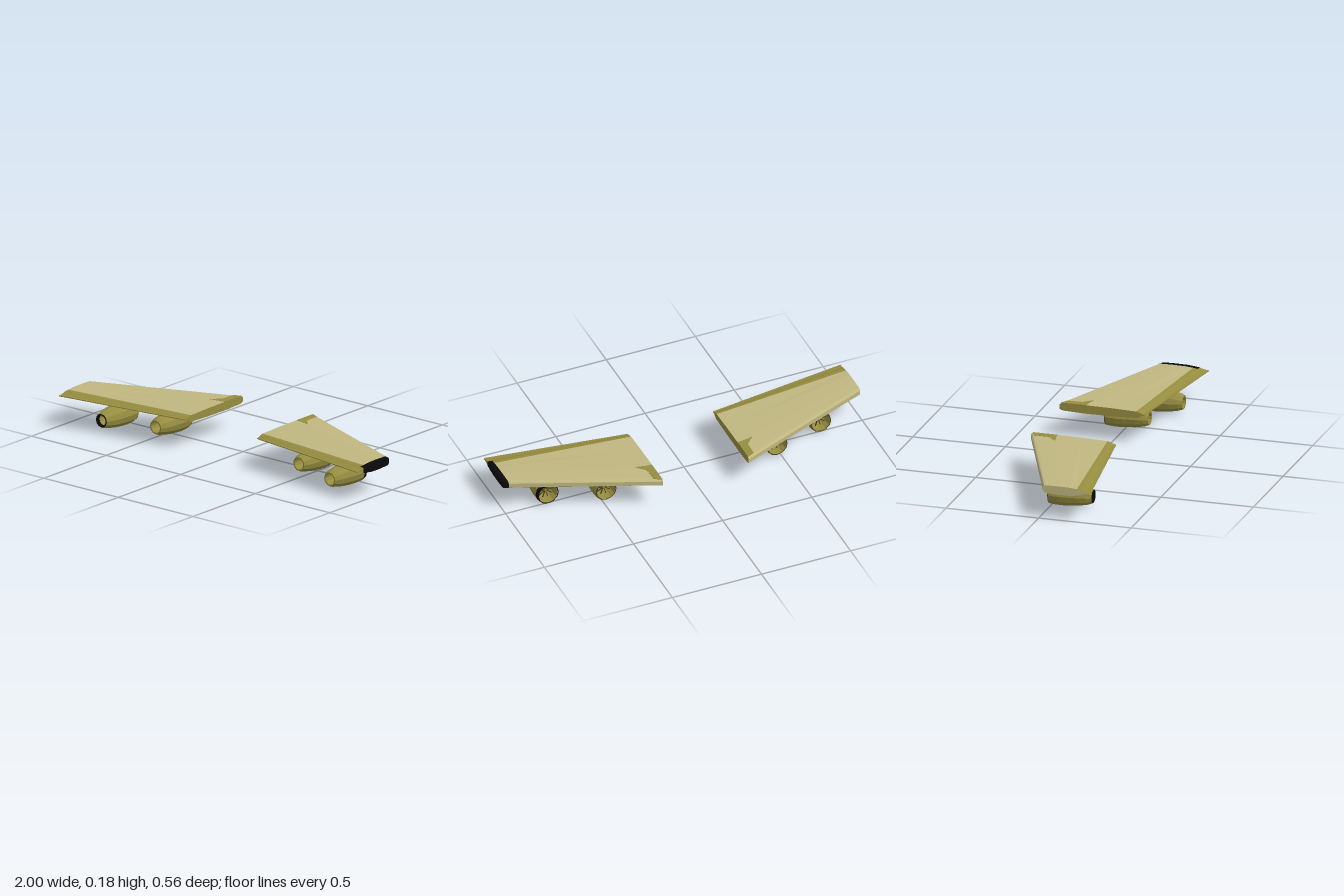
import * as THREE from 'three';

const mat = (name, color, side = THREE.FrontSide) => {
  const m = new THREE.MeshStandardMaterial({ color, side });
  m.name = name;
  return m;
};

// wing section rows: chord fraction at root, at tip, upper y, lower y
const SECTION = [
  [0, 0, 0.181, 0.158], [0.02, 0.02, 0.188, 0.152], [0.06, 0.06, 0.19, 0.149],
  [0.3, 0.3, 0.191, 0.145], [0.6, 0.55, 0.19, 0.146], [0.9, 0.71, 0.186, 0.151],
  [0.93, 0.81, 0.183, 0.156], [0.95, 0.84, 0.179, 0.161], [0.97, 0.92, 0.174, 0.166],
  [1, 1, 0.172, 0.168],
];
const LAST = SECTION.length - 1;
const ROOT = 0.24, TIP = 1, FLAP = 5, CAP = 6, CUT = 0.975;

// point on the wing surface; row = section row, k = 2 upper or 3 lower
function wingPoint(x, row, k) {
  const u = (x - ROOT) / (TIP - ROOT);
  const lead = THREE.MathUtils.lerp(-0.285, 0.025, u);
  const trail = THREE.MathUtils.lerp(0.175, 0.28, u);
  const t = THREE.MathUtils.lerp(SECTION[row][0], SECTION[row][1], u);
  return [x, SECTION[row][k], lead + (trail - lead) * t];
}

// flat-shaded geometry from quads, mirrored to the side s
function quadGeometry(quads, s) {
  const pos = [];
  for (const [a, b, c, d] of quads) {
    const order = s > 0 ? [a, b, c, a, c, d] : [a, c, b, a, d, c];
    for (const p of order) pos.push(p[0] * s, p[1], p[2]);
  }
  const g = new THREE.BufferGeometry();
  g.setAttribute('position', new THREE.Float32BufferAttribute(pos, 3));
  g.computeVertexNormals();
  return g;
}

// upper and lower skin between two spans and two section rows
function skin(x0, x1, r0, r1) {
  const P = wingPoint, quads = [];
  for (let i = r0; i < r1; i++) {
    quads.push([P(x0, i, 2), P(x0, i + 1, 2), P(x1, i + 1, 2), P(x1, i, 2)]);
    quads.push([P(x0, i + 1, 3), P(x0, i, 3), P(x1, i, 3), P(x1, i + 1, 3)]);
  }
  if (r0 === 0) quads.push([P(x0, 0, 3), P(x0, 0, 2), P(x1, 0, 2), P(x1, 0, 3)]);
  if (r1 === LAST) quads.push([P(x0, LAST, 2), P(x0, LAST, 3), P(x1, LAST, 3), P(x1, LAST, 2)]);
  return quads;
}

// end faces at the root or the tip
function endFace(x, r0, r1, isTip) {
  const quads = [];
  for (let i = r0; i < r1; i++) {
    const q = [wingPoint(x, i, 2), wingPoint(x, i + 1, 2), wingPoint(x, i + 1, 3), wingPoint(x, i, 3)];
    quads.push(isTip ? q : q.reverse());
  }
  return quads;
}

export function createModel() {
  const khaki = mat('khaki', 0xc0b780);
  const olive = mat('olive', 0x968d40);
  const shade = mat('darkOlive', 0x4a4420, THREE.DoubleSide);
  const black = mat('black', 0x0a0a0a, THREE.DoubleSide);
  const model = new THREE.Group();
  model.name = 'wingPair';

  const add = (parent, name, geometry, material) => {
    const m = new THREE.Mesh(geometry, material);
    m.name = name;
    parent.add(m);
    return m;
  };

  const lathe = (points) => {
    const g = new THREE.LatheGeometry(points.map(([r, z]) => new THREE.Vector2(r, z)), 12)
      .rotateX(Math.PI / 2).toNonIndexed();
    g.computeVertexNormals();
    return g;
  };

  // hollow engine: intake at -z, narrow exhaust at +z
  function engine(x, z, lipBlack, exhaustBlack) {
    const g = new THREE.Group();
    g.name = 'engine';
    add(g, 'nacelle', lathe([
      [0.057, -0.115], [0.061, -0.095], [0.063, -0.055], [0.062, -0.02],
      [0.056, 0.045], [0.047, 0.09], [0.037, 0.115],
      [0.03, 0.115], [0.034, 0.05], [0.045, -0.06], [0.052, -0.113], [0.057, -0.115],
    ]), olive);
    add(g, 'intakeLip', lathe(lipBlack
      ? [[0.054, -0.1165], [0.0585, -0.1165], [0.0625, -0.094]]
      : [[0.052, -0.1155], [0.0575, -0.1155], [0.0583, -0.112]]), lipBlack ? black : shade);
    if (exhaustBlack) {
      add(g, 'exhaustRing', lathe([[0.036, 0.1165], [0.029, 0.1165], [0.03, 0.095]]), black);
    }
    // fan blades around a small hub
    const blades = 10;
    for (let i = 0; i < blades; i++) {
      const a = (i / blades) * Math.PI * 2;
      const blade = add(g, 'fanBlade', new THREE.BoxGeometry(0.042, 0.0035, 0.006), shade);
      blade.position.set(Math.cos(a) * 0.026, Math.sin(a) * 0.026, -0.075);
      blade.rotation.z = a;
    }
    const hub = add(g, 'fanHub', new THREE.ConeGeometry(0.01, 0.025, 8), olive);
    hub.rotation.x = -Math.PI / 2;
    hub.position.z = -0.083;
    // pylon up to the wing
    const pylon = add(g, 'pylon', new THREE.BoxGeometry(0.018, 0.03, 0.093), khaki);
    pylon.position.set(0, 0.07, -0.047);
    g.position.set(x, 0.07, z);
    model.add(g);
  }

  for (const s of [1, -1]) {
    const wing = new THREE.Group();
    wing.name = s > 0 ? 'leftWing' : 'rightWing';
    model.add(wing);
    const left = s > 0;
    const inner = left ? CUT : TIP;
    add(wing, 'mainPanel', quadGeometry(skin(ROOT, inner, 0, FLAP), s), khaki);
    add(wing, 'trailingEdge', quadGeometry(
      [...skin(ROOT, inner, FLAP, LAST), ...(left ? skin(CUT, TIP, CAP, LAST) : [])], s), olive);
    add(wing, 'rootFace', quadGeometry(endFace(ROOT, 0, LAST, false), s), olive);
    if (left) {
      add(wing, 'tipCap', quadGeometry([...skin(CUT, TIP, 0, CAP), ...endFace(TIP, 0, CAP, true)], s), black);
      add(wing, 'tipRear', quadGeometry(endFace(TIP, CAP, LAST, true), s), olive);
    } else {
      add(wing, 'tipFace', quadGeometry(endFace(TIP, 0, LAST, true), s), khaki);
    }

    // thin olive patch on top beside the root
    const patch = new THREE.Shape([
      [0.24, 0.275], [0.28, 0.255], [0.283, 0.175], [0.33, 0.125], [0.27, 0.138], [0.24, 0.14],
    ].map(([x, z]) => new THREE.Vector2(x * s, z)));
    const plate = new THREE.ExtrudeGeometry(patch, { depth: 0.003, bevelEnabled: false });
    plate.rotateX(-Math.PI / 2).translate(0, 0.1888, 0);
    add(wing, 'rootPatch', plate, olive);

    engine(0.48 * s, 0.012, false, false);
    engine(0.765 * s, 0.105, left, !left);
  }
  return model;
}
